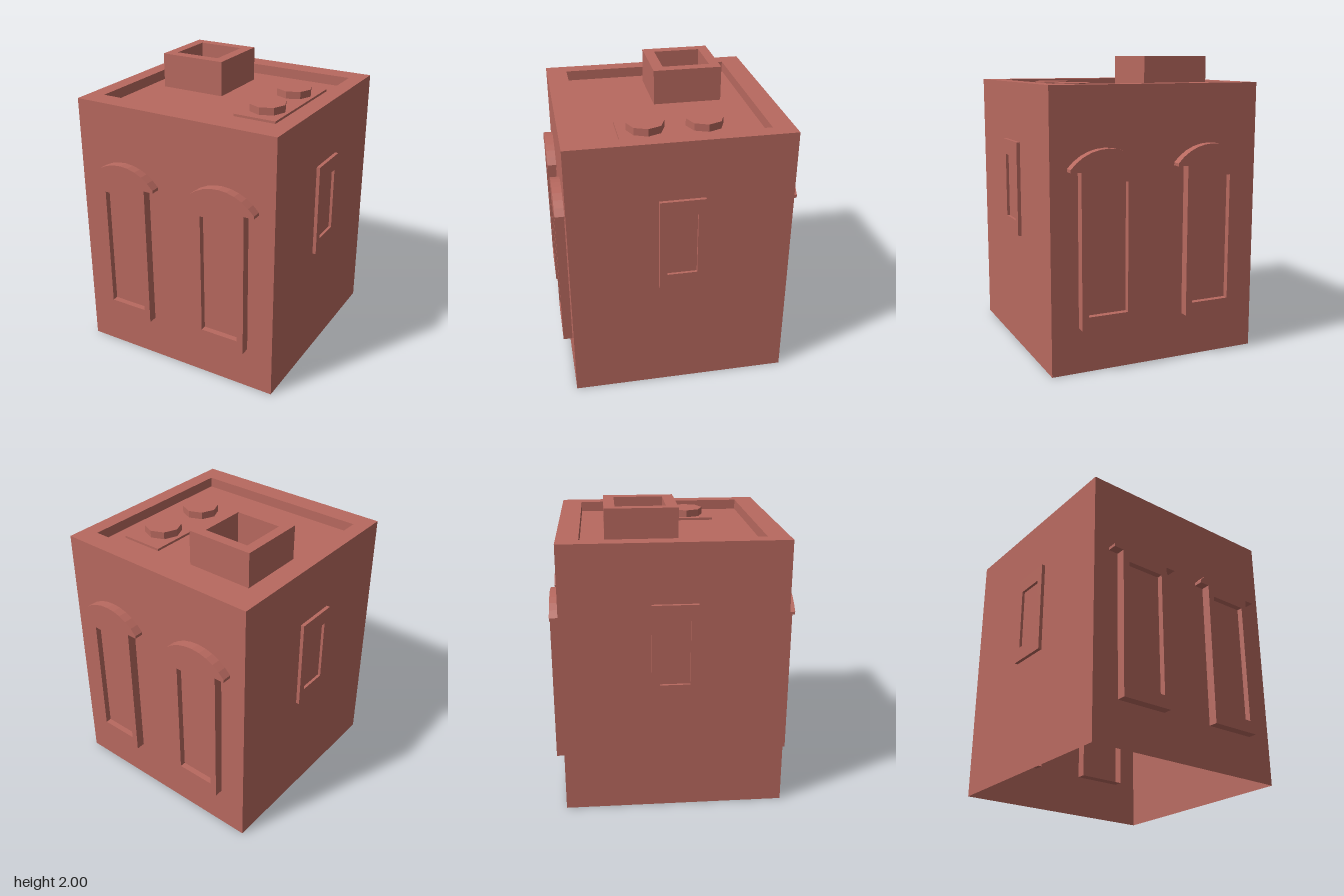
import * as THREE from 'three';
import { mergeGeometries } from 'three/addons/utils/BufferGeometryUtils.js';

const material = new THREE.MeshStandardMaterial({
  color: 0xb8695f, flatShading: true, side: THREE.DoubleSide,
});

// Counter-clockwise rectangle outline
const rect = (x0, y0, x1, y1) => [[x0, y0], [x1, y0], [x1, y1], [x0, y1]]
  .map(([x, y]) => new THREE.Vector2(x, y));

// Open band of side walls that follows an outline from z0 to z1
function band(points, z0, z1) {
  const pos = [];
  points.forEach((a, i) => {
    const b = points[(i + 1) % points.length];
    pos.push(a.x, a.y, z0, b.x, b.y, z0, b.x, b.y, z1);
    pos.push(a.x, a.y, z0, b.x, b.y, z1, a.x, a.y, z1);
  });
  const geo = new THREE.BufferGeometry();
  geo.setAttribute('position', new THREE.Float32BufferAttribute(pos, 3));
  return geo;
}

function cap(points, z, hole) {
  const shape = new THREE.Shape(points);
  if (hole) shape.holes.push(new THREE.Path(hole));
  const geo = new THREE.ShapeGeometry(shape).toNonIndexed();
  geo.deleteAttribute('uv');
  geo.deleteAttribute('normal');
  return geo.translate(0, 0, z);
}

// Prism open at the back, with a sunken field in its front face
function recessed(outer, inner, back, front, floor) {
  const geo = mergeGeometries([
    band(outer, back, front),
    cap(outer, front, inner),
    band([...inner].reverse(), floor, front),
    cap(inner, floor),
  ]);
  geo.computeVertexNormals();
  return geo;
}

function add(parent, name, geo) {
  const mesh = new THREE.Mesh(geo, material);
  mesh.name = name;
  parent.add(mesh);
  return mesh;
}

// Window frame outline with an arched hood, centred on x = 0
function archedOutline() {
  const half = 0.25, spring = 1.325, rise = 0.118, steps = 10;
  const radius = (half * half + rise * rise) / (2 * rise);
  const sweep = Math.asin(half / radius);
  const pts = [[-0.18, 0.3], [0.18, 0.3], [0.18, 1.305], [half, 1.305]];
  for (let i = 0; i <= steps; i++) {
    const a = sweep * (1 - (2 * i) / steps);
    pts.push([radius * Math.sin(a), spring + rise - radius + radius * Math.cos(a)]);
  }
  pts.push([-half, 1.305], [-0.18, 1.305]);
  return pts.map(([x, y]) => new THREE.Vector2(x, y));
}

export function createModel() {
  const model = new THREE.Group();
  model.name = 'building';
  const roofY = 1.76;

  // Hollow walls, parapet and sunken roof
  add(model, 'wallsAndRoof', recessed(
    rect(-0.733, -0.733, 0.733, 0.733), rect(-0.628, -0.59, 0.628, 0.59),
    0, 1.83, roofY).rotateX(-Math.PI / 2));

  // Chimney
  add(model, 'chimney', recessed(
    rect(-0.52, -0.04, -0.05, 0.43), rect(-0.45, 0.035, -0.125, 0.36),
    roofY, 2, roofY + 0.003).rotateX(-Math.PI / 2));

  // Roof plate with two octagonal vents
  add(model, 'ventPlate', new THREE.BoxGeometry(0.3, 0.016, 0.79))
    .position.set(0.38, roofY + 0.008, -0.035);
  for (const z of [-0.215, 0.175]) {
    add(model, 'roofVent', new THREE.CylinderGeometry(0.125, 0.125, 0.066, 8))
      .position.set(0.38, roofY + 0.033, z);
  }

  // Arched windows on front and back, small windows on both sides
  const arched = recessed(archedOutline(), rect(-0.135, 0.385, 0.135, 1.232),
    0.667, 0.795, 0.755);
  const small = recessed(rect(-0.15, 0.795, 0.15, 1.435), rect(-0.1, 0.895, 0.1, 1.33),
    0.705, 0.757, 0.738);
  for (const turn of [0, Math.PI]) {
    const side = new THREE.Group();
    side.name = turn ? 'backAndRightWindows' : 'frontAndLeftWindows';
    side.rotation.y = turn;
    for (const x of [-0.37, 0.37]) add(side, 'archedWindow', arched).position.x = x;
    add(side, 'sideWindow', small).rotation.y = Math.PI / 2;
    model.add(side);
  }
  return model;
}
